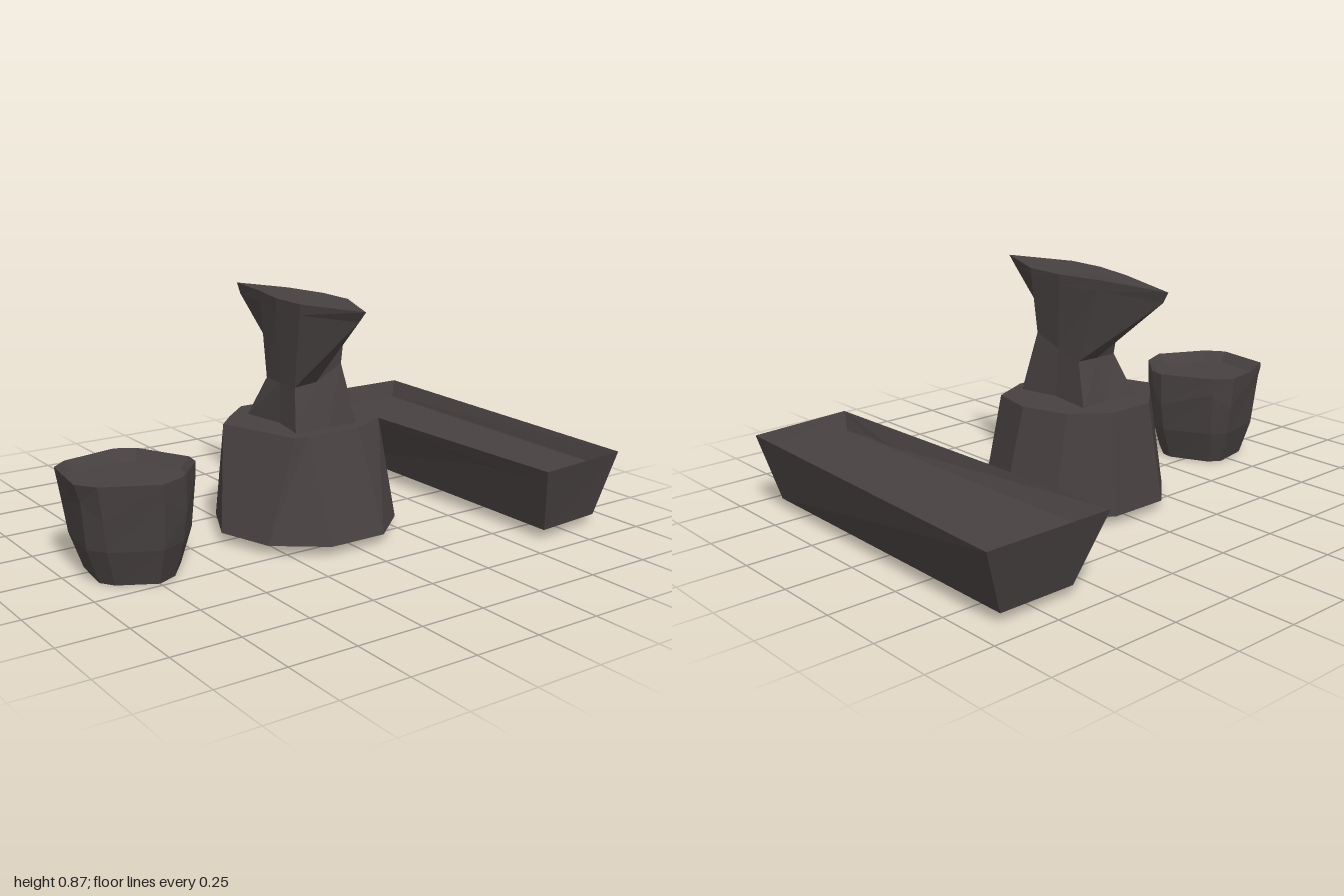
import * as THREE from 'three';

// Double-sided because the trough and bucket walls are thin
const iron = new THREE.MeshStandardMaterial({ color: 0x474040, side: THREE.DoubleSide });
iron.name = 'dark iron';

// Flat ring of [x, z] points at height y
const level = (y, pts) => pts.map(([x, z]) => [x, y, z]);

// Faceted solid through a list of rings, closed with a fan at both ends
function loft(name, rings) {
  const pos = [];
  const tri = (...p) => p.forEach((v) => pos.push(...v));
  const n = rings[0].length;
  for (let r = 0; r < rings.length - 1; r++) {
    for (let i = 0; i < n; i++) {
      const j = (i + 1) % n, lo = rings[r], hi = rings[r + 1];
      tri(lo[i], hi[i], lo[j]);
      tri(lo[j], hi[i], hi[j]);
    }
  }
  const cap = (ring, up) => {
    const c = [0, 1, 2].map((k) => ring.reduce((s, p) => s + p[k], 0) / n);
    ring.forEach((p, i) => {
      const q = ring[(i + 1) % n];
      if (up) tri(c, q, p); else tri(c, p, q);
    });
  };
  cap(rings[0], false);
  cap(rings[rings.length - 1], true);
  const geo = new THREE.BufferGeometry();
  geo.setAttribute('position', new THREE.Float32BufferAttribute(pos, 3));
  geo.computeVertexNormals();
  const mesh = new THREE.Mesh(geo, iron);
  mesh.name = name;
  return mesh;
}

export function createModel() {
  const model = new THREE.Group();
  model.name = 'smithySet';

  // Tapered ten-sided block under the anvil
  model.add(loft('stump', [
    level(0.037, [[-0.375, 0.01], [-0.28, -0.19], [-0.13, -0.333], [0.1, -0.333], [0.28, -0.2],
      [0.343, 0.01], [0.26, 0.22], [0.1, 0.357], [-0.13, 0.357], [-0.31, 0.22]]),
    level(0.41, [[-0.295, -0.1], [-0.22, -0.18], [-0.1, -0.29], [0.08, -0.29], [0.21, -0.19],
      [0.267, -0.02], [0.23, 0.15], [0.08, 0.22], [-0.14, 0.225], [-0.19, 0.21]]),
  ]));

  // Anvil: pinched foot, waist, then horn and heel drawn out to points
  model.add(loft('anvil', [
    level(0.405, [[0, -0.17], [0.12, -0.18], [0.09, 0], [0.12, 0.16],
      [-0.01, 0.16], [-0.15, 0.16], [-0.115, 0], [-0.14, -0.18]]),
    [[-0.01, 0.56, -0.11], [0.075, 0.56, -0.105], [0.08, 0.59, 0], [0.08, 0.63, 0.115],
      [-0.02, 0.57, 0.1], [-0.11, 0.56, 0.095], [-0.11, 0.56, 0], [-0.1, 0.56, -0.105]],
    [[0, 0.82, -0.447], [0.062, 0.83, -0.187], [0.093, 0.83, -0.02], [0.089, 0.84, 0.137],
      [-0.024, 0.83, 0.361], [-0.117, 0.83, 0.135], [-0.113, 0.83, -0.02], [-0.074, 0.83, -0.187]],
    [[0, 0.86, -0.47], [0.06, 0.87, -0.2], [0.095, 0.87, -0.02], [0.09, 0.87, 0.14],
      [-0.025, 0.87, 0.4], [-0.118, 0.87, 0.14], [-0.114, 0.87, -0.02], [-0.07, 0.87, -0.2]],
  ]));

  // Trough: tapered outer walls, sharp rim and a raised floor inside
  model.add(loft('trough', [
    level(0.037, [[0.605, -0.655], [0.9, -0.655], [0.89, 0.63], [0.61, 0.655]]),
    level(0.285, [[0.505, -0.72], [1, -0.72], [0.955, 0.68], [0.55, 0.72]]),
    level(0.22, [[0.555, -0.69], [0.965, -0.69], [0.93, 0.645], [0.57, 0.675]]),
  ]));

  // Battered bucket: five blunt corners, faceted sides and a sunken top
  const rim = [[-0.97, -0.09], [-0.91, -0.14], [-0.7, -0.18], [-0.63, -0.14], [-0.53, 0.06],
    [-0.54, 0.12], [-0.65, 0.25], [-0.76, 0.295], [-0.95, 0.2], [-1, 0.13]];
  const around = (sx, sz, shift = 0) => rim.map(([x, z]) =>
    [-0.765 + shift + (x + 0.765) * sx, 0.055 + (z - 0.055) * sz]);
  model.add(loft('bucket', [
    level(0, around(0.69, 0.74, 0.012)),
    level(0.13, around(0.88, 0.9, 0.01)),
    level(0.27, around(0.95, 0.97, 0.01)).map(([x, y, z], i) => [x, y + (i % 2 ? 0.03 : -0.03), z]),
    level(0.365, rim),
    level(0.325, around(0.85, 0.84)),
  ]));

  return model;
}
